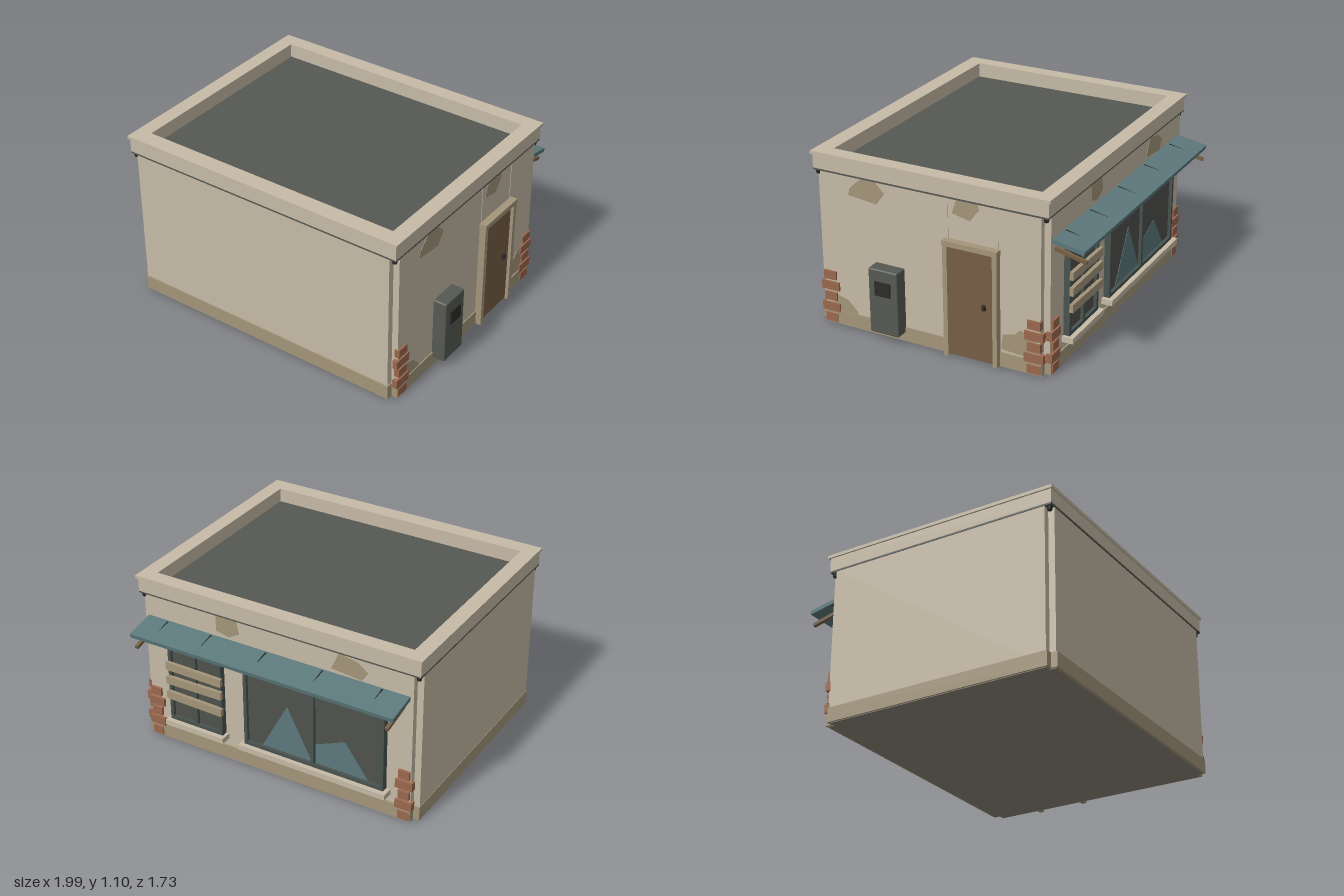
import * as THREE from 'three';
import { RoundedBoxGeometry } from 'three/addons/geometries/RoundedBoxGeometry.js';

const mat = (name, color) => {
  const m = new THREE.MeshStandardMaterial({ color });
  m.name = name;
  return m;
};

export function createModel() {
  const plaster = mat('plaster', 0xc6baa6);
  const tan = mat('tan stone', 0xa3957a);
  const slate = mat('slate grey', 0x565953);
  const frameGrey = mat('frame grey', 0x48534f);
  const wood = mat('brown wood', 0x765f45);
  const teal = mat('teal', 0x5c797c);
  const brick = mat('brick', 0x9b684f);
  const charcoal = mat('charcoal', 0x2c2c2b);
  const glass = mat('dark glass', 0x4f524c);
  const concrete = mat('floor concrete', 0x8a8378);

  const model = new THREE.Group();
  model.name = 'shop';

  const add = (name, geo, material, parent = model) => {
    const mesh = new THREE.Mesh(geo, material);
    mesh.name = name;
    parent.add(mesh);
    return mesh;
  };
  // box given by its limits on each axis
  const box = (name, material, x0, x1, y0, y1, z0, z1, parent = model) => {
    const mesh = add(name, new THREE.BoxGeometry(x1 - x0, y1 - y0, z1 - z0), material, parent);
    mesh.position.set((x0 + x1) / 2, (y0 + y1) / 2, (z0 + z1) / 2);
    return mesh;
  };
  // upright block whose four corners are notched by 0.04
  const notched = (name, material, x0, x1, z0, z1, y0, y1) => {
    const n = 0.04;
    const pts = [[x0 + n, z0], [x1 - n, z0], [x1 - n, z0 + n], [x1, z0 + n], [x1, z1 - n], [x1 - n, z1 - n],
      [x1 - n, z1], [x0 + n, z1], [x0 + n, z1 - n], [x0, z1 - n], [x0, z0 + n], [x0 + n, z0 + n]];
    const shape = new THREE.Shape(pts.map(([x, z]) => new THREE.Vector2(x, -z)));
    const geo = new THREE.ExtrudeGeometry(shape, { depth: y1 - y0, bevelEnabled: false });
    geo.rotateX(-Math.PI / 2);
    add(name, geo, material).position.y = y0;
  };
  // rectangular frame lying flat, open in the middle
  const ring = (name, material, outer, inner, y0, y1) => {
    const rect = ([x0, x1, z0, z1]) =>
      [[x0, -z1], [x1, -z1], [x1, -z0], [x0, -z0]].map(p => new THREE.Vector2(...p));
    const shape = new THREE.Shape(rect(outer));
    shape.holes.push(new THREE.Path(rect(inner)));
    const geo = new THREE.ExtrudeGeometry(shape, { depth: y1 - y0, bevelEnabled: false });
    geo.rotateX(-Math.PI / 2);
    add(name, geo, material).position.y = y0;
  };
  // thin plate on a wall: points are [x or z, y]
  const plate = (name, material, side, at, pts) => {
    const shape = new THREE.Shape(pts.map(([u, y]) => new THREE.Vector2(-u, y)));
    const geo = new THREE.ExtrudeGeometry(shape, { depth: 0.004, bevelEnabled: false });
    const mesh = add(name, geo, material);
    mesh.rotation.y = side === 'right' ? Math.PI / 2 : Math.PI;
    mesh.position[side === 'right' ? 'x' : 'z'] = at;
  };

  // body, floor, plinth and roof
  notched('walls', plaster, -0.987, 0.9, -0.67, 0.85, 0.01, 0.99);
  notched('floor', concrete, -0.98, 0.895, -0.665, 0.845, 0, 0.01);
  notched('plinth', tan, -0.99, 0.907, -0.68, 0.858, 0.004, 0.095);
  box('roof', slate, -0.95, 0.865, 0.992, 1.005, -0.635, 0.81);
  ring('parapet', plaster, [-0.99, 0.905, -0.677, 0.855], [-0.912, 0.827, -0.602, 0.767], 0.993, 1.08);
  ring('parapetCap', plaster, [-1, 0.915, -0.69, 0.865], [-0.905, 0.82, -0.595, 0.76], 1.08, 1.1);
  ring('underTrim', slate, [-0.99, 0.905, -0.675, 0.855], [-0.93, 0.845, -0.62, 0.79], 0.982, 0.993);

  // dark pipe stubs in the corner notches
  for (const x of [-0.967, 0.882]) {
    for (const z of [-0.652, 0.832]) {
      const stub = add('pipeStub', new THREE.CylinderGeometry(0.019, 0.013, 0.028, 10), charcoal);
      stub.position.set(x, 0.97, z);
    }
  }

  // exposed bricks beside the corners of the door wall and window wall
  for (let i = 0; i < 5; i++) {
    const y = 0.012 + i * 0.07;
    const h = i % 2 ? 0.061 : 0.042;
    for (const z of [0.771, -0.591]) {
      box('sideBrick', brick, 0.88, 0.912, y, y + 0.055, z - h, z + h);
    }
    for (const x of [0.817, -0.906]) {
      box('backBrick', brick, x - h + 0.006, x + h - 0.006, y, y + 0.055, -0.687, -0.65);
    }
  }

  // bare plaster patches
  const sidePatches = [
    [[0.53, 0.985], [0.44, 0.985], [0.375, 0.92], [0.43, 0.845], [0.62, 0.865], [0.61, 0.91]],
    [[-0.1, 0.985], [-0.23, 0.985], [-0.245, 0.95], [-0.185, 0.87], [-0.07, 0.895], [-0.09, 0.96]],
    [[0.75, 0.2], [0.655, 0.175], [0.59, 0.11], [0.59, 0.09], [0.75, 0.09]],
    [[-0.38, 0.115], [-0.39, 0.21], [-0.47, 0.23], [-0.5, 0.265], [-0.56, 0.24], [-0.63, 0.19],
      [-0.63, 0.1], [-0.5, 0.105]],
  ];
  for (const p of sidePatches) plate('sidePatch', tan, 'right', 0.898, p);
  const backPatches = [
    [[0.36, 0.985], [0.22, 0.985], [0.2, 0.9], [0.27, 0.86], [0.36, 0.88]],
    [[-0.47, 0.985], [-0.59, 0.96], [-0.66, 0.91], [-0.62, 0.85], [-0.42, 0.87]],
  ];
  for (const p of backPatches) plate('backPatch', tan, 'back', -0.668, p);

  // door with frame, handle and wall joints above
  const door = new THREE.Group();
  door.name = 'door';
  model.add(door);
  box('doorPanel', wood, 0.89, 0.922, 0.012, 0.706, -0.347, -0.053, door);
  box('doorLintel', tan, 0.89, 0.946, 0.705, 0.737, -0.377, -0.023, door);
  for (const z of [-0.0405, -0.3595]) {
    box('doorJamb', tan, 0.89, 0.943, 0.004, 0.706, z - 0.0145, z + 0.0145, door);
    box('wallJoint', plaster, 0.89, 0.903, 0.737, 0.982, z - 0.004, z + 0.004);
  }
  box('doorHandle', charcoal, 0.92, 0.936, 0.347, 0.38, -0.293, -0.272, door);

  // utility cabinet with softened edges
  const cabinet = new THREE.Group();
  cabinet.name = 'cabinet';
  model.add(cabinet);
  const body = add('cabinetBody', new RoundedBoxGeometry(0.095, 0.415, 0.195, 2, 0.009), slate, cabinet);
  body.position.set(0.938, 0.2675, 0.3525);
  box('cabinetScreen', charcoal, 0.98, 0.994, 0.31, 0.4, 0.3, 0.405, cabinet);

  // windows: glass, frame, centre bar and sill
  const makeWindow = (name, x0, x1, s0, s1) => {
    const g = new THREE.Group();
    g.name = name;
    model.add(g);
    const t = 0.022, y0 = 0.18, y1 = 0.735, mid = (x0 + x1) / 2;
    box('glass', glass, x0 + 0.01, x1 - 0.01, y0 + 0.01, y1 - 0.01, -0.69, -0.66, g);
    box('frameBottom', frameGrey, x0, x1, y0, y0 + t, -0.711, -0.66, g);
    box('frameTop', frameGrey, x0, x1, y1 - t, y1, -0.711, -0.66, g);
    for (const x of [x0 + t / 2, mid, x1 - t / 2]) {
      box('frameBar', frameGrey, x - t / 2, x + t / 2, y0 + t, y1 - t, -0.71, -0.66, g);
    }
    box('sill', plaster, s0, s1, 0.145, 0.18, -0.742, -0.66, g);
    return g;
  };
  const small = makeWindow('smallWindow', 0.315, 0.695, 0.295, 0.715);
  makeWindow('largeWindow', -0.788, 0.158, -0.815, 0.185);

  // boards nailed over the small window
  [[0.357, 0.02], [0.468, -0.015], [0.562, 0.012]].forEach(([y, tilt]) => {
    const b = box('board', tan, 0.305, 0.7, y - 0.026, y + 0.026, -0.732, -0.708, small);
    b.rotation.z = tilt;
  });

  // pale shards in the large window
  plate('glassShard', teal, 'back', -0.688, [[0.04, 0.2], [-0.135, 0.525], [-0.303, 0.2]]);
  plate('glassShard', teal, 'back', -0.688,
    [[-0.325, 0.2], [-0.325, 0.33], [-0.525, 0.415], [-0.68, 0.2]]);

  // sloping awning with tears and support arms
  const awning = new THREE.Group();
  awning.name = 'awning';
  awning.position.set(0, 0.832, -0.668);
  awning.rotation.x = -0.185;
  model.add(awning);
  box('canopy', teal, -0.925, 0.845, -0.013, 0.013, -0.199, 0, awning);
  [[-0.755, 0.1], [-0.37, 0.11], [0.01, 0.11], [0.39, 0.115], [0.7, 0.095]].forEach(([x, len]) => {
    const shape = new THREE.Shape([[-0.006, 0], [0.006, 0], [0.001, len]].map(p => new THREE.Vector2(...p)));
    const tear = add('canopyTear', new THREE.ExtrudeGeometry(shape, { depth: 0.002, bevelEnabled: false }),
      charcoal, awning);
    tear.rotation.x = -Math.PI / 2;
    tear.position.set(x, 0.012, -0.01);
  });
  for (const x of [-0.885, 0.805]) {
    const arm = box('awningArm', wood, x - 0.011, x + 0.011, -0.01, 0.01, -0.2, 0);
    arm.position.set(x, 0.75, -0.765);
    arm.rotation.x = -0.24;
  }
  return model;
}
